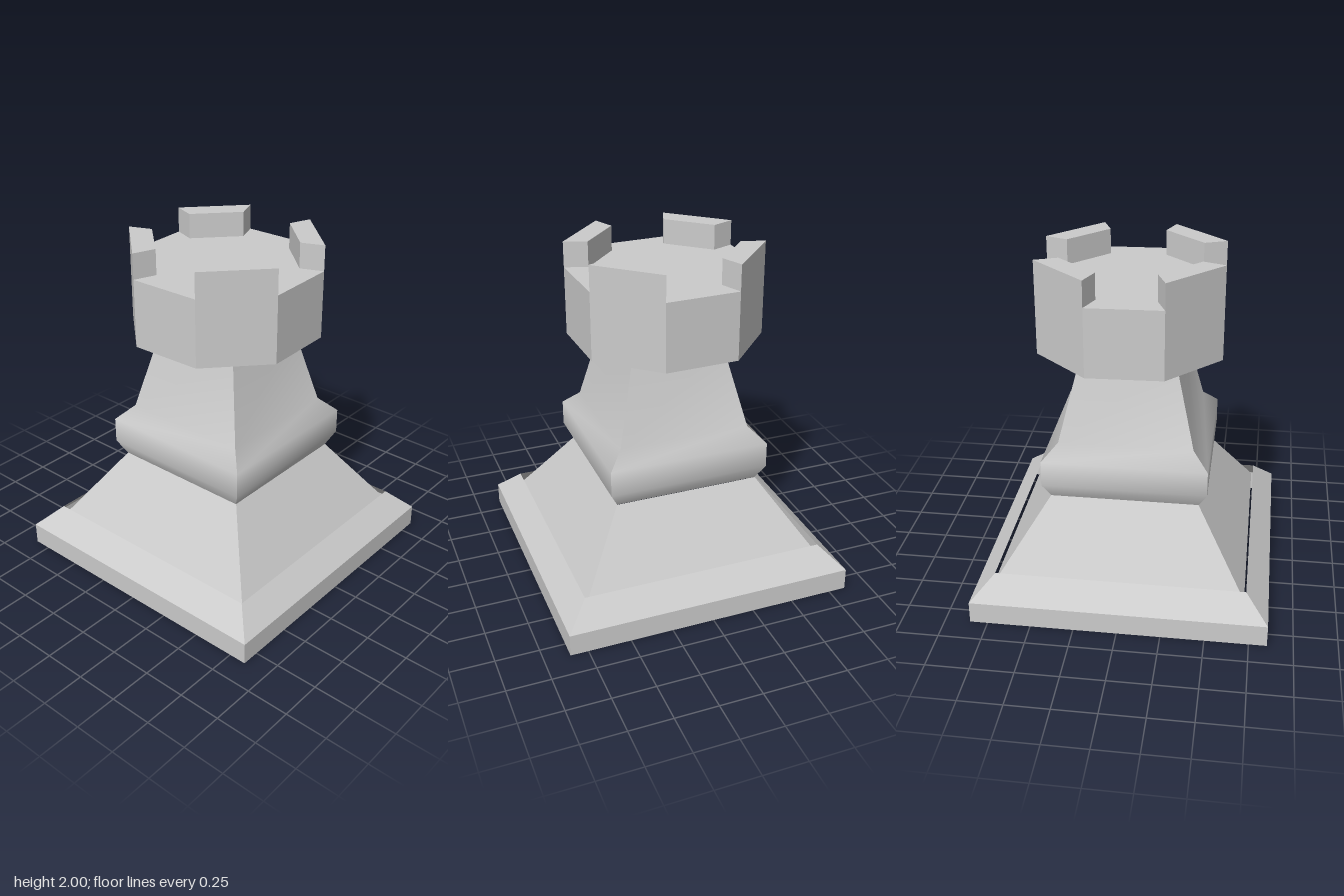
import * as THREE from 'three';
import { mergeGeometries } from 'three/addons/utils/BufferGeometryUtils.js';

const material = new THREE.MeshStandardMaterial({ color: 0xcccccc, side: THREE.DoubleSide });

// Open square shell from [half width, y] pairs; each of the four sides is smooth
// along its height, with hard corners. Flat makes every band hard-edged too.
function squareShell(name, profile, zShift, flat = false) {
  const sides = [];
  for (let s = 0; s < 4; s++) {
    const positions = [], index = [];
    profile.forEach(([r, y], i) => {
      positions.push(-r, y, r, r, y, r);
      if (i > 0) {
        const a = 2 * i - 2;
        index.push(a, a + 1, a + 3, a, a + 3, a + 2);
      }
    });
    let side = new THREE.BufferGeometry();
    side.setAttribute('position', new THREE.Float32BufferAttribute(positions, 3));
    side.setIndex(index);
    if (flat) side = side.toNonIndexed();
    side.computeVertexNormals();
    side.rotateY(s * Math.PI / 2);
    sides.push(side);
  }
  const mesh = new THREE.Mesh(mergeGeometries(sides), material);
  mesh.name = name;
  mesh.position.z = zShift;
  return mesh;
}

// Flat-shaded mesh from convex polygons, corners anticlockwise from outside
function polygonMesh(name, polygons) {
  const positions = [];
  for (const p of polygons) {
    for (let i = 1; i < p.length - 1; i++) positions.push(...p[0], ...p[i], ...p[i + 1]);
  }
  const geometry = new THREE.BufferGeometry();
  geometry.setAttribute('position', new THREE.Float32BufferAttribute(positions, 3));
  geometry.computeVertexNormals();
  const mesh = new THREE.Mesh(geometry, material);
  mesh.name = name;
  return mesh;
}

// Eight-sided turret: hollow below, flat floor, a merlon on every second side
function createTurret() {
  const turret = new THREE.Group();
  turret.name = 'turret';
  const bottom = 1.45, floor = 1.85, top = 2;
  const turn = ([x, z], k) => {
    const c = Math.cos(k * Math.PI / 2), s = Math.sin(k * Math.PI / 2);
    return [x * c + z * s, z * c - x * s];
  };
  const at = ([x, z], y) => [x, y, z];
  const walls = [], rim = [];
  for (let k = 0; k < 4; k++) {
    // Outer ends and inner ends of one merlon, then the next wall's far corner
    const a = turn([0.235, 0.515], k), b = turn([0.53, 0.195], k);
    const ai = turn([0.182, 0.385], k), bi = turn([0.4, 0.148], k);
    const next = turn([0.235, 0.515], k + 1);
    rim.push(at(a, floor), at(b, floor));
    walls.push([at(a, bottom), at(b, bottom), at(b, top), at(a, top)]);
    walls.push([at(b, bottom), at(next, bottom), at(next, floor), at(b, floor)]);
    turret.add(polygonMesh('merlon', [
      [at(a, top), at(b, top), at(bi, top), at(ai, top)],
      [at(bi, floor), at(ai, floor), at(ai, top), at(bi, top)],
      [at(b, floor), at(bi, floor), at(bi, top), at(b, top)],
      [at(ai, floor), at(a, floor), at(a, top), at(ai, top)],
    ]));
  }
  turret.add(polygonMesh('turretWall', walls), polygonMesh('turretFloor', [rim]));
  turret.position.set(-0.02, 0, -0.01);
  return turret;
}

export function createModel() {
  const model = new THREE.Group();
  model.name = 'chessRook';

  // Plinth with a chamfered lip, open underneath
  model.add(squareShell('plinth', [[0.853, 0], [0.853, 0.13], [0.722, 0.26]], 0, true));

  // Sloping foot that drops just inside the lip
  model.add(squareShell('foot', [[0.72, 0.2], [0.43, 0.63]], -0.008, true));

  // Rounded collar running up into the tapering shaft
  model.add(squareShell('shaft', [
    [0.43, 0.63], [0.477, 0.72], [0.477, 0.87], [0.388, 0.96], [0.27, 1.45],
  ], -0.006));

  model.add(createTurret());
  return model;
}
